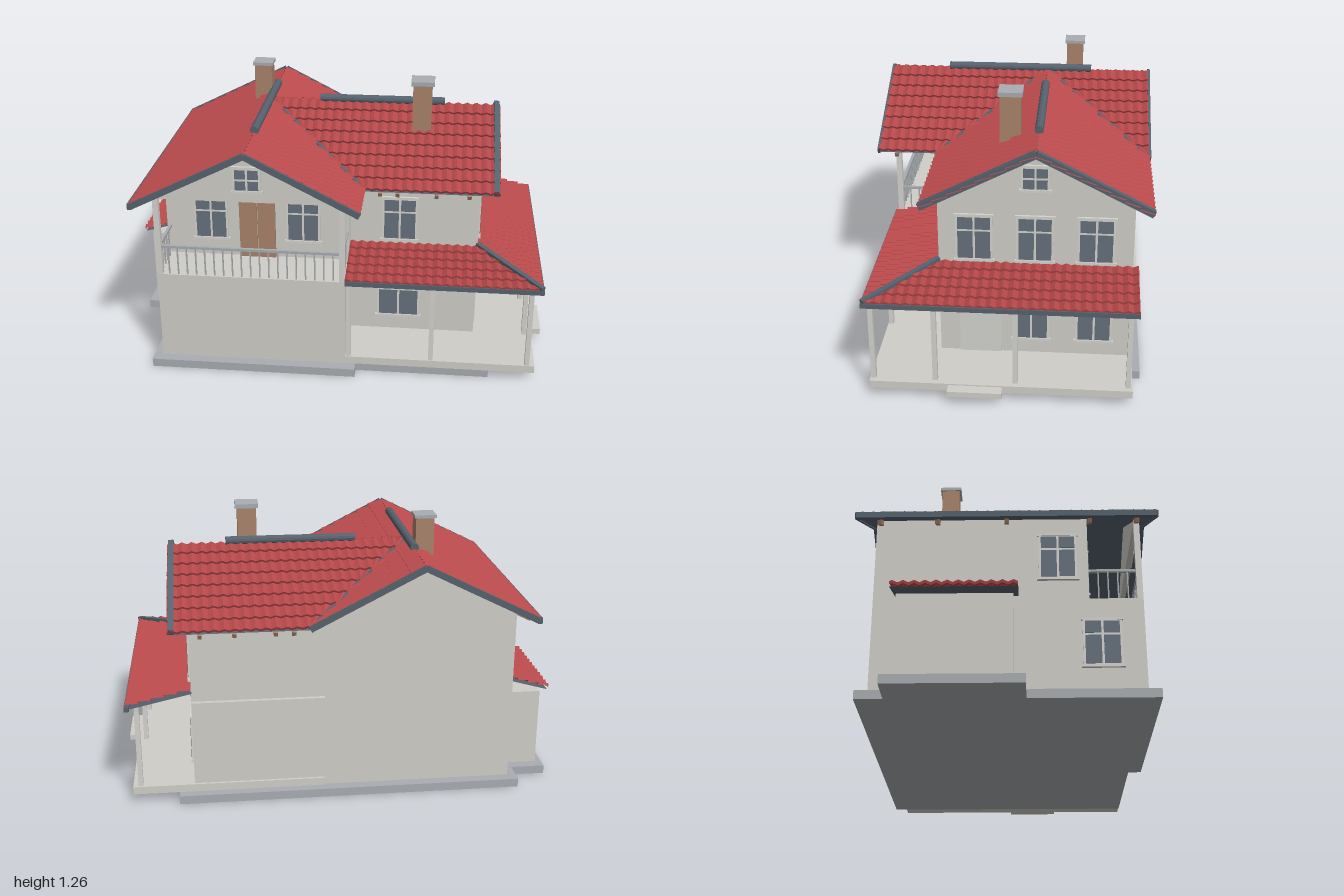
import * as THREE from 'three';

const mat = (name, color, side = THREE.FrontSide) => {
  const m = new THREE.MeshStandardMaterial({ color, side, flatShading: true });
  m.name = name;
  return m;
};
const V = (x, y, z) => new THREE.Vector3(x, y, z);

export function createModel() {
  const house = new THREE.Group();
  house.name = 'house';
  const wall = mat('plaster', 0xd0cec8);
  const trimWhite = mat('white trim', 0xd4d3ce);
  const stone = mat('stone', 0xa9adb1);
  const slate = mat('slate trim', 0x56626d, THREE.DoubleSide);
  const glass = mat('glass', 0x66707b);
  const wood = mat('wood', 0xa8836b);
  const red = mat('roof tile', 0xb5484a, THREE.DoubleSide);

  const add = (name, geo, m, parent = house) => {
    const mesh = new THREE.Mesh(geo, m);
    mesh.name = name;
    parent.add(mesh);
    return mesh;
  };
  // box given by its limits on each axis
  const box = (name, m, x0, x1, y0, y1, z0, z1, parent) => {
    const mesh = add(name, new THREE.BoxGeometry(x1 - x0, y1 - y0, z1 - z0), m, parent);
    mesh.position.set((x0 + x1) / 2, (y0 + y1) / 2, (z0 + z1) / 2);
    return mesh;
  };
  // bar running from p to q
  const beam = (name, m, p, q, w, h) => {
    const mesh = add(name, new THREE.BoxGeometry(w, h, p.distanceTo(q)), m);
    mesh.position.copy(p).lerp(q, 0.5);
    mesh.lookAt(q);
    return mesh;
  };
  const extrude = (pts, depth) => new THREE.ExtrudeGeometry(
    new THREE.Shape(pts.map(p => new THREE.Vector2(...p))), { depth, bevelEnabled: false });

  // Foundation, porch floor and step
  box('foundation', stone, -0.84, 0.12, 0, 0.04, -0.62, 0.63);
  box('porchFoundation', stone, 0.12, 0.74, 0, 0.04, -0.62, 0.57);
  box('shedFoundation', stone, -1, -0.84, 0, 0.04, -0.5, 0.08);
  box('porchFloor', wall, 0.07, 0.95, 0.042, 0.078, -0.582, 0.58);
  box('porchStep', wall, 0.95, 1, 0.045, 0.072, -0.01, 0.23);

  // Walls: ground floor under the balcony, then the two gabled wings
  box('groundFloor', wall, -0.8, 0.07, 0.04, 0.47, -0.57, 0.58);
  const leftWing = extrude(
    [[-0.8, 0.04], [0.07, 0.04], [0.07, 0.857], [-0.365, 1.08], [-0.8, 0.862]], 0.92);
  add('leftWingWalls', leftWing, wall).position.z = -0.57;
  const rightWing = extrude(
    [[-0.295, 0.04], [0.57, 0.04], [0.57, 0.857], [0.14, 1.08], [-0.295, 0.857]], 1.03);
  rightWing.rotateY(Math.PI / 2);
  add('rightWingWalls', rightWing, wall).position.x = -0.36;
  const gable = extrude([[-0.8, 0.85], [0.07, 0.85], [-0.365, 1.08]], 0.025);
  add('balconyGable', gable, wall).position.z = 0.555;
  box('backLedge', wall, 0.07, 0.67, 0.46, 0.485, -0.59, -0.56);
  box('shed', wall, -0.97, -0.8, 0.04, 0.41, -0.45, 0.03);

  // Tiled roof face with corners: eave start, eave end, ridge end, ridge start
  function roofFace(name, a, b, c, d, courses) {
    const U = b.clone().sub(a).normalize();
    const ad = d.clone().sub(a);
    const shift = ad.dot(U);
    const S = ad.clone().addScaledVector(U, -shift);
    const N = U.clone().cross(S).normalize();
    if (N.y < 0) N.negate();
    const len = b.clone().sub(a).dot(U), top = c.clone().sub(a).dot(U);
    const step = 0.045 / 4;
    const lo = Math.min(0, shift), hi = Math.max(len, top);
    const n = Math.ceil((hi - lo) / step);
    const pos = [], idx = [];
    for (let r = 0; r < courses; r++) {
      // riser foot, raised lower edge and tucked upper edge of one course
      [[r, -0.002], [r, 0.011], [r + 1, 0]].forEach(([k, lift], row) => {
        const v = k / courses;
        const u0 = shift * v, u1 = len + (top - len) * v;
        for (let i = 0; i <= n; i++) {
          const u = Math.min(u1, Math.max(u0, lo + i * step));
          const h = lift + 0.005 * Math.sin((u / 0.045) * Math.PI * 2);
          const p = a.clone().addScaledVector(U, u).addScaledVector(S, v).addScaledVector(N, h);
          pos.push(p.x, p.y, p.z);
          if (i < n && row < 2) {
            const s = (r * 3 + row) * (n + 1) + i, t = s + n + 1;
            idx.push(s, s + 1, t + 1, s, t + 1, t);
          }
        }
      });
    }
    const g = new THREE.BufferGeometry();
    g.setAttribute('position', new THREE.Float32BufferAttribute(pos, 3));
    g.setIndex(idx);
    g.computeVertexNormals();
    add(name, g, red);
    // plain lining underneath
    const under = [a, b, c, d].map(p => p.clone().addScaledVector(N, -0.012));
    const s = new THREE.BufferGeometry().setFromPoints(under);
    s.setIndex([0, 1, 2, 0, 2, 3]);
    s.computeVertexNormals();
    add(name + 'Lining', s, slate);
  }

  // Main roofs, cut along the valleys
  const E = 0.84, R = 1.1, rx = -0.365, rz = -0.14, Z = 0.65;
  const hub = V(rx, R, rz), vf = V(0.14, E, 0.365), vb = V(0.14, E, -0.645);
  roofFace('leftRoof', V(-0.885, E, Z), V(-0.885, E, -Z), V(rx, R, -Z), V(rx, R, Z), 8);
  roofFace('frontInnerRoof', vf, V(0.14, E, Z), V(rx, R, Z), hub, 8);
  roofFace('backInnerRoof', V(0.14, E, -Z), vb, hub, V(rx, R, -Z), 8);
  roofFace('rightFrontRoof', vf, V(0.76, E, 0.365), V(0.76, R, rz), hub, 8);
  roofFace('rightBackRoof', vb, V(0.76, E, -0.645), V(0.76, R, rz), hub, 8);
  beam('frontValley', slate, vf, hub, 0.018, 0.012);
  beam('backValley', slate, vb, hub, 0.018, 0.012);
  for (const z of [Z, -Z]) {
    beam('vergeBoard', slate, V(-0.885, E - 0.004, z), V(rx, R - 0.004, z), 0.012, 0.028);
    beam('vergeBoard', slate, V(0.14, E - 0.004, z), V(rx, R - 0.004, z), 0.012, 0.028);
  }
  for (const z of [0.365, -0.645])
    beam('sideVerge', slate, V(0.742, E + 0.004, z), V(0.742, R + 0.004, rz), 0.026, 0.03);
  box('leftGutter', slate, -0.895, -0.875, E - 0.018, E + 0.01, -Z, Z);

  // Ridge caps
  const ridge = (name, len, x, z) => {
    const m = add(name, new THREE.CylinderGeometry(0.02, 0.02, len, 12), slate);
    m.position.set(x, 1.108, z);
    return m;
  };
  ridge('leftRidgeCap', 0.72, rx, 0).rotation.x = Math.PI / 2;
  ridge('rightRidgeCap', 0.61, 0.185, rz).rotation.z = Math.PI / 2;

  // Rafter tails under the eaves
  for (const x of [0.21, 0.29, 0.47, 0.62]) {
    beam('rafterTail', wood, V(x, 0.815, 0.36), V(x, 0.855, 0.28), 0.018, 0.022);
    beam('rafterTail', wood, V(x, 0.815, -0.64), V(x, 0.855, -0.56), 0.018, 0.022);
  }
  for (const z of [0.565, 0.36])
    beam('rafterTail', wood, V(0.135, 0.815, z), V(0.055, 0.855, z), 0.018, 0.022);
  for (const z of [0.565, 0.36, 0, -0.3, -0.55])
    beam('rafterTail', wood, V(-0.87, 0.815, z), V(-0.785, 0.857, z), 0.018, 0.022);

  // Porch and shed roofs
  const pf = V(0.96, 0.48, 0.59), pt = V(0.67, 0.545, 0.295);
  roofFace('porchFrontRoof', V(0.07, 0.48, 0.59), pf, pt, V(0.07, 0.545, 0.295), 5);
  roofFace('porchSideRoof', pf, V(0.96, 0.48, -0.595), V(0.67, 0.545, -0.595), pt, 5);
  beam('porchHip', slate, pf.clone().setY(0.488), pt.clone().setY(0.553), 0.024, 0.018);
  box('porchFrontGutter', slate, 0.07, 0.965, 0.46, 0.482, 0.575, 0.597);
  box('porchSideGutter', slate, 0.945, 0.967, 0.46, 0.482, -0.597, 0.597);
  box('porchFrontBeam', wall, 0.07, 0.93, 0.45, 0.468, 0.555, 0.575);
  box('porchSideBeam', wall, 0.905, 0.925, 0.45, 0.468, -0.575, 0.575);
  roofFace('shedRoof', V(-1, 0.44, -0.475), V(-1, 0.44, 0.05), V(-0.8, 0.497, 0.05), V(-0.8, 0.497, -0.475), 4);

  // Porch and balcony posts
  for (const [x, z] of [[0.085, 0.565], [0.47, 0.565], [0.915, 0.565], [0.915, 0.29], [0.915, -0.065], [0.915, -0.562]])
    box('porchPost', trimWhite, x - 0.011, x + 0.011, 0.078, 0.465, z - 0.011, z + 0.011);
  for (const x of [-0.787, 0.057])
    box('balconyPost', trimWhite, x - 0.013, x + 0.013, 0.47, 0.856, 0.554, 0.58);

  // Balcony railing
  box('frontRail', stone, -0.78, 0.05, 0.602, 0.614, 0.56, 0.575);
  for (let i = 1; i < 20; i++) {
    const x = -0.787 + i * 0.0422;
    box('baluster', stone, x - 0.003, x + 0.003, 0.47, 0.605, 0.564, 0.571);
  }
  for (const x of [-0.787, 0.057]) {
    box('sideRail', stone, x - 0.007, x + 0.007, 0.602, 0.614, 0.35, 0.56);
    for (let i = 1; i < 5; i++) {
      const z = 0.35 + i * 0.042;
      box('baluster', stone, x - 0.003, x + 0.003, 0.47, 0.605, z - 0.003, z + 0.003);
    }
  }

  // Windows: centre, size, facing angle and height share of the transom
  function addWindow(x, y, z, w, h, turn, split = 0.67) {
    const g = new THREE.Group();
    g.name = 'window';
    house.add(g);
    g.position.set(x, y, z);
    g.rotation.y = turn;
    const b = 0.01, m = 0.005, t = -h / 2 + h * split;
    box('windowFrame', trimWhite, -w / 2, w / 2, -h / 2, h / 2, -0.004, 0.01, g);
    box('windowSill', trimWhite, -w / 2 - 0.008, w / 2 + 0.008, -h / 2 - 0.006, -h / 2 + 0.006, -0.004, 0.014, g);
    box('windowHead', trimWhite, -w / 2 - 0.005, w / 2 + 0.005, h / 2 - 0.005, h / 2 + 0.005, -0.004, 0.012, g);
    for (const [x0, x1] of [[-w / 2 + b, -m], [m, w / 2 - b]])
      for (const [y0, y1] of [[-h / 2 + b, t - m], [t + m, h / 2 - b]])
        box('pane', glass, x0, x1, y0, y1, 0.008, 0.012, g);
  }
  const side = Math.PI / 2;
  addWindow(-0.585, 0.665, 0.35, 0.16, 0.215, 0);
  addWindow(-0.148, 0.665, 0.35, 0.16, 0.215, 0);
  addWindow(-0.365, 0.96, 0.58, 0.125, 0.115, 0, 0.5);
  addWindow(0.302, 0.67, 0.295, 0.165, 0.215, 0);
  addWindow(0.303, 0.262, 0.295, 0.205, 0.215, 0);
  for (const z of [0.135, -0.135, -0.405]) addWindow(0.67, 0.667, z, 0.165, 0.22, side);
  for (const z of [-0.12, -0.405]) addWindow(0.67, 0.262, z, 0.165, 0.22, side);
  addWindow(0.67, 0.96, -0.135, 0.125, 0.115, side, 0.5);
  addWindow(-0.8, 0.67, 0.22, 0.165, 0.215, -side);
  addWindow(-0.8, 0.262, 0.4, 0.165, 0.215, -side);

  // Doors
  box('balconyDoor', wood, -0.45, -0.367, 0.47, 0.8, 0.345, 0.362);
  box('balconyDoor', wood, -0.363, -0.28, 0.47, 0.8, 0.345, 0.362);
  box('porchDoor', trimWhite, 0.665, 0.678, 0.078, 0.42, 0.015, 0.205);

  // Chimneys
  box('frontChimney', wood, 0.34, 0.43, 0.98, 1.24, -0.055, 0.04);
  box('frontChimneyCap', stone, 0.33, 0.44, 1.24, 1.26, -0.063, 0.047);
  box('backChimney', wood, -0.462, -0.377, 1, 1.235, -0.317, -0.235);
  box('backChimneyCap', stone, -0.47, -0.37, 1.235, 1.25, -0.325, -0.227);

  return house;
}
